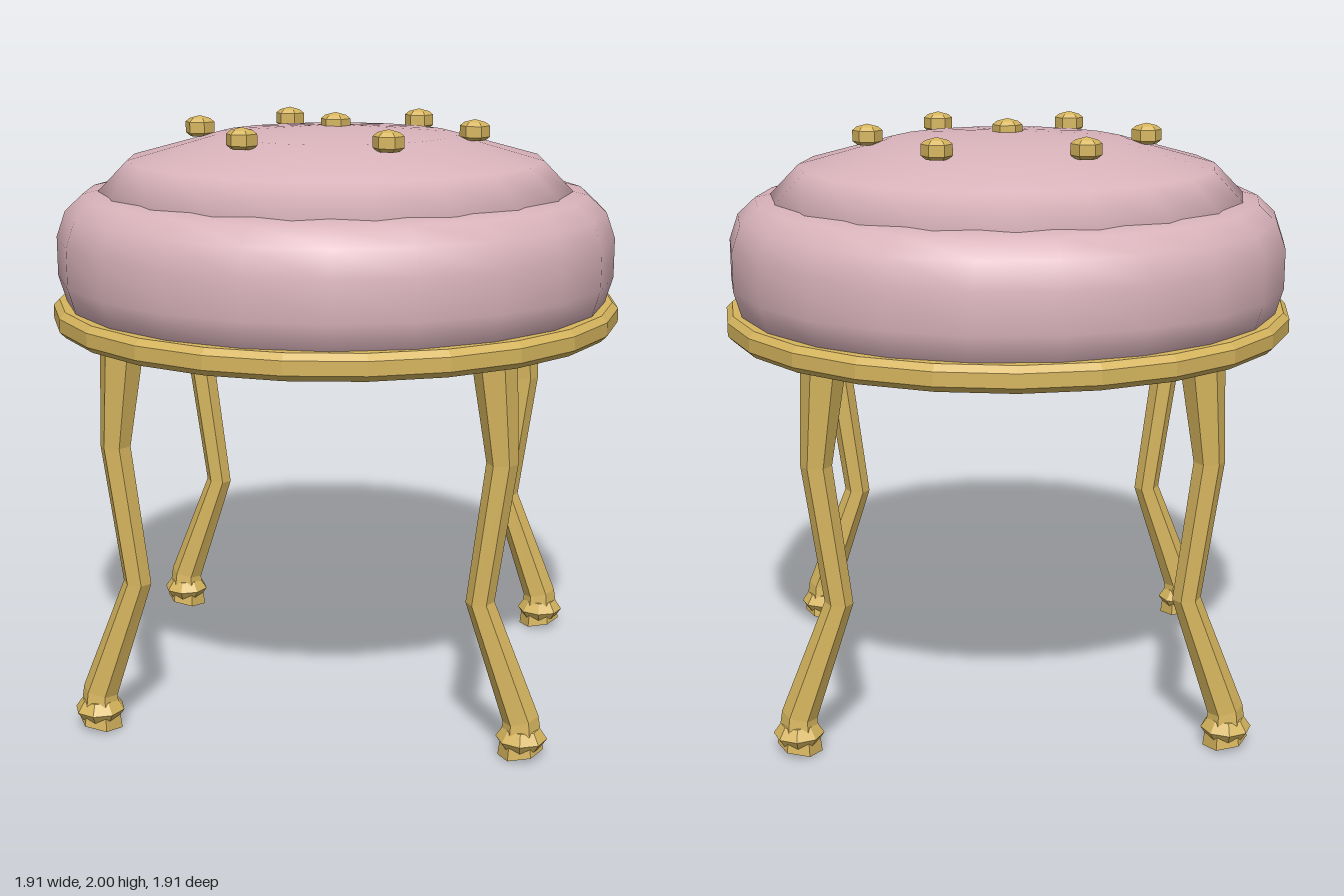
import * as THREE from 'three';

const fabric = new THREE.MeshStandardMaterial({ color: 0xd9b3bb });
const gold = new THREE.MeshStandardMaterial({ color: 0xd6b55e });
gold.flatShading = true;

function add(parent, name, geometry, material) {
  const mesh = new THREE.Mesh(geometry, material);
  mesh.name = name;
  parent.add(mesh);
  return mesh;
}

// Profile of [radius, height] pairs turned round y, with a corner on the x axis
function turned(profile, sides) {
  const points = profile.map(([r, y]) => new THREE.Vector2(r, y));
  return new THREE.LatheGeometry(points, sides).rotateY(Math.PI / 2);
}

// Six-sided tapering leg: each row is [x, y, radius, tilt]
const legRows = [
  [0.583, 1.36, 0.075, 0],
  [0.62, 0.98, 0.05, 0],
  [0.56, 0.52, 0.046, 0.08],
  [0.698, 0.13, 0.057, 0.25],
  [0.70, 0.015, 0.073, 0.2],
];

function legGeometry() {
  const steps = legRows.length - 1;
  const geo = new THREE.CylinderGeometry(1, 1, 1, 6, steps, false, Math.PI / 2);
  const pos = geo.attributes.position;
  for (let i = 0; i < pos.count; i++) {
    const [x, y, r, tilt] = legRows[Math.round((0.5 - pos.getY(i)) * steps)];
    const across = pos.getX(i) * r;
    pos.setXYZ(i, x + across, y + across * tilt, pos.getZ(i) * r);
  }
  geo.computeVertexNormals();
  return geo;
}

export function createModel() {
  const model = new THREE.Group();
  model.name = 'stool';

  // Rounded seat cushion and the shallow dome on top of it
  add(model, 'cushion', turned([
    [0, 1.325], [0.78, 1.325], [0.85, 1.335], [0.91, 1.385], [0.935, 1.47],
    [0.935, 1.6], [0.905, 1.685], [0.845, 1.74], [0.77, 1.757], [0, 1.76],
  ], 22), fabric);

  const dome = new THREE.SphereGeometry(0.805, 20, 3, 0, Math.PI * 2, 0, Math.PI / 2);
  add(model, 'cushionDome', dome.scale(1, 0.22 / 0.805, 1).translate(0, 1.74, 0), fabric);

  // Bevelled rim under the cushion
  add(model, 'rim', turned([
    [0.885, 1.3], [0.935, 1.3], [0.955, 1.32], [0.955, 1.365], [0.935, 1.385],
    [0.885, 1.385], [0.865, 1.365], [0.865, 1.32], [0.885, 1.3],
  ], 24), gold);

  // Tufting buttons: one in the middle, six round it
  const button = turned([
    [0, -0.035], [0.035, -0.032], [0.05, -0.02], [0.05, 0.016], [0.035, 0.028], [0, 0.037],
  ], 6);
  add(model, 'button', button, gold).position.set(0, 1.963, 0);
  for (let i = 0; i < 6; i++) {
    const a = (i * Math.PI) / 3;
    add(model, 'button', button, gold)
      .position.set(0.465 * Math.cos(a), 1.946, 0.465 * Math.sin(a));
  }

  // Four legs with faceted foot collars, bending outward along x
  const leg = legGeometry();
  const collar = new THREE.SphereGeometry(0.083, 8, 4).scale(1, 0.6, 1);
  for (const turn of [0, Math.PI]) {
    for (const z of [-0.585, 0.585]) {
      const group = new THREE.Group();
      group.name = 'leg';
      group.rotation.y = turn;
      group.position.z = z;
      add(group, 'legShaft', leg, gold);
      add(group, 'footCollar', collar, gold).position.set(0.702, 0.066, 0);
      model.add(group);
    }
  }
  return model;
}
